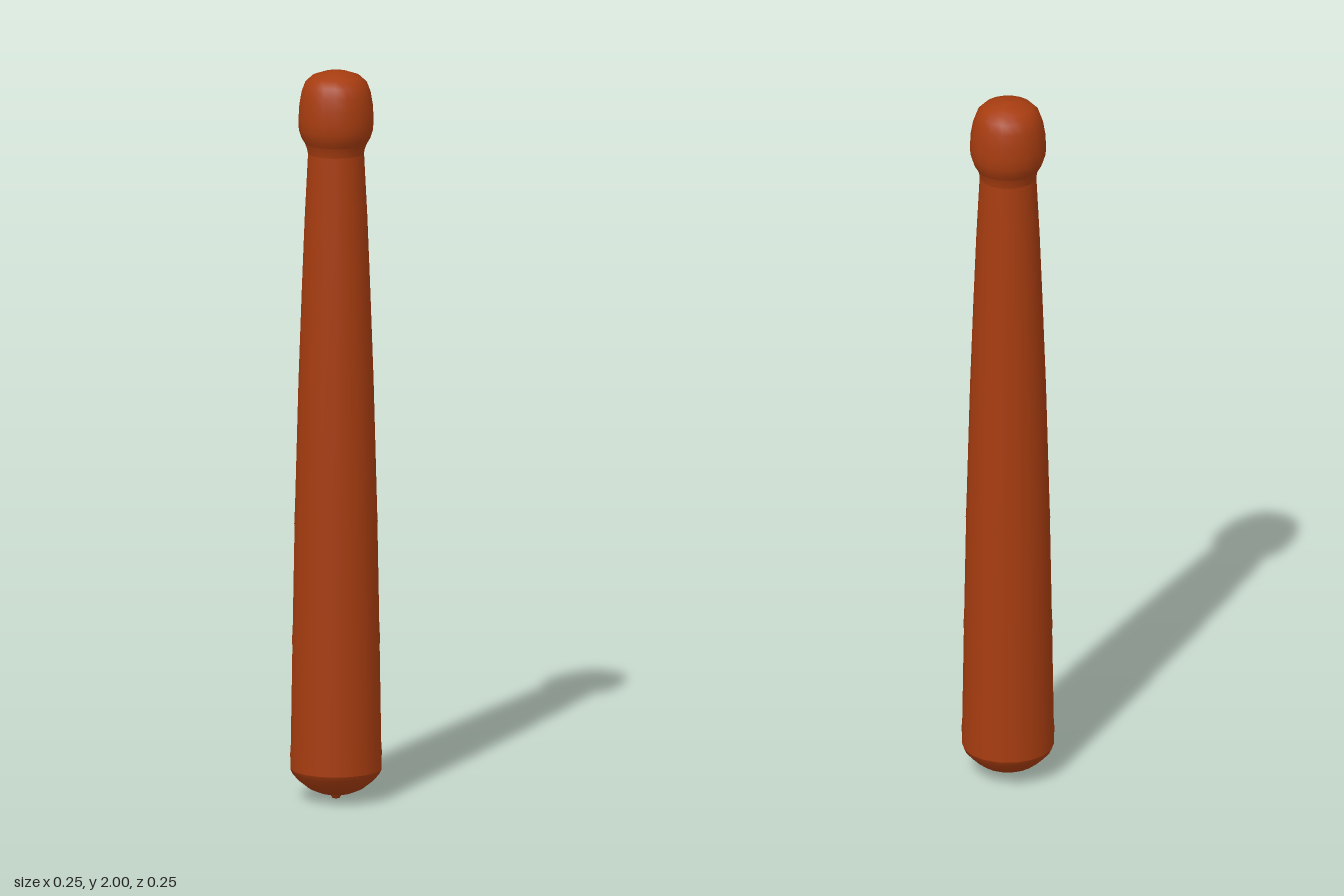
import * as THREE from 'three';

const SIDES = 18;

export function createModel() {
  const group = new THREE.Group();
  group.name = 'stick';
  const wood = new THREE.MeshStandardMaterial({ color: 0xa63c10, side: THREE.DoubleSide });

  // Turn a profile of [radius, height] points around the upright axis
  const turn = (name, profile) => {
    const points = profile.map(([r, y]) => new THREE.Vector2(r, y));
    const mesh = new THREE.Mesh(new THREE.LatheGeometry(points, SIDES, Math.PI / 2), wood);
    mesh.name = name;
    group.add(mesh);
  };

  // Rounded butt with a small nub in the middle
  turn('buttNub', [[0, 0], [0.01, 0.003], [0.016, 0.013]]);
  turn('butt', [[0.016, 0.013], [0.045, 0.019], [0.075, 0.032], [0.1, 0.052], [0.118, 0.072], [0.124, 0.085]]);

  // Tapering shaft
  const shaft = [[0.124, 0.085], [0.122, 0.2], [0.118, 0.45], [0.112, 0.78], [0.102, 1.15], [0.093, 1.4], [0.085, 1.6], [0.076, 1.775]];
  turn('shaft', shaft);

  // Narrow bands standing slightly proud of the shaft
  const radiusAt = (y) => {
    const i = shaft.findIndex((p) => p[1] >= y);
    const [r0, y0] = shaft[i - 1], [r1, y1] = shaft[i];
    return r0 + (r1 - r0) * (y - y0) / (y1 - y0);
  };
  for (const y of [0.13, 0.44, 0.77]) {
    const low = y - 0.012, high = y + 0.012;
    turn('band', [[radiusAt(low) + 0.001, low], [radiusAt(high) + 0.001, high]]);
  }

  // Neck and rounded head
  turn('neck', [[0.076, 1.775], [0.079, 1.79], [0.084, 1.803]]);
  turn('head', [
    [0.084, 1.803], [0.094, 1.82], [0.101, 1.842], [0.102, 1.87], [0.1, 1.905],
    [0.094, 1.94], [0.084, 1.967], [0.066, 1.985], [0.035, 1.996], [0, 2],
  ]);

  return group;
}
